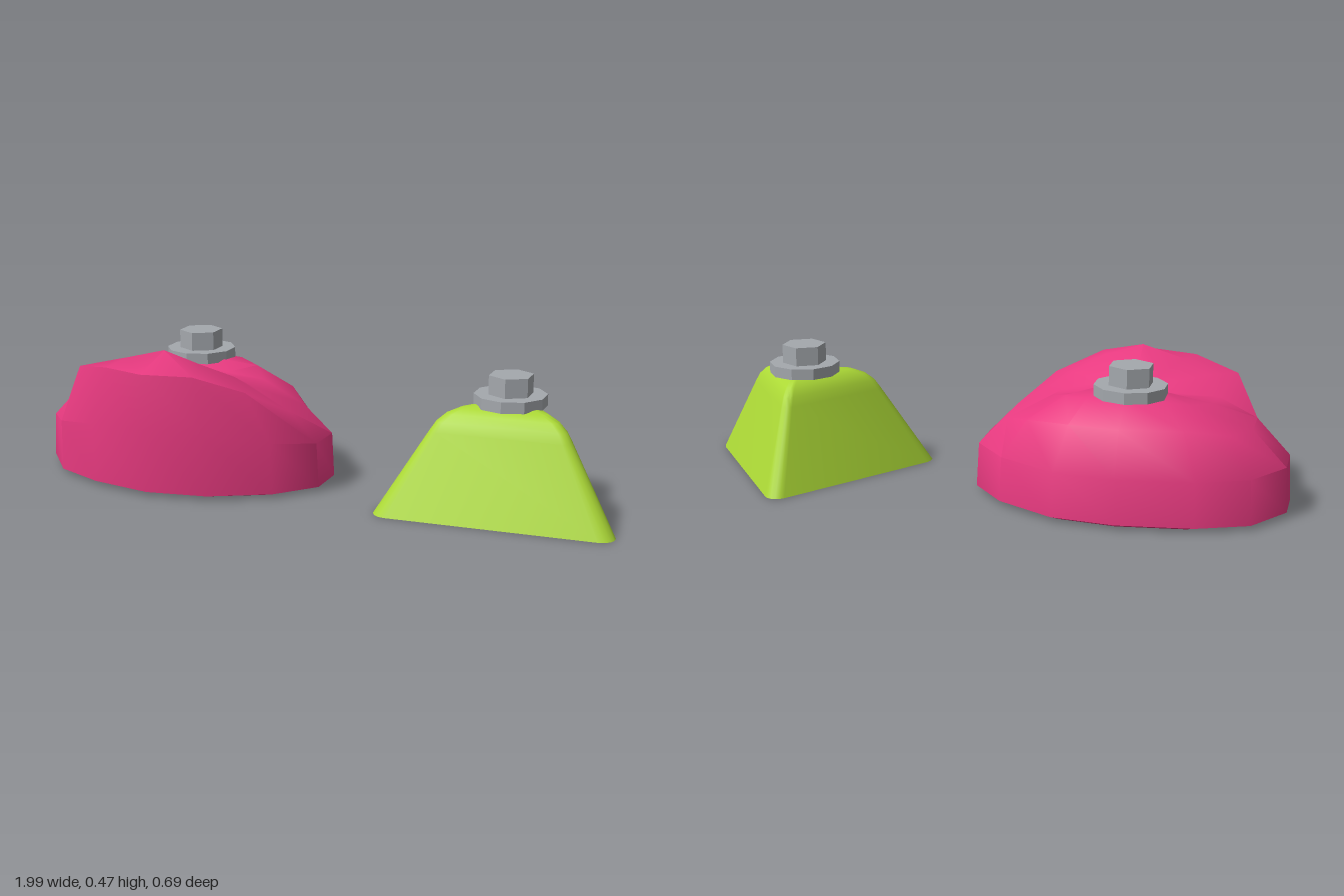
import * as THREE from 'three';
import { toCreasedNormals } from 'three/addons/utils/BufferGeometryUtils.js';

// Skin a stack of closed rings (bottom to top) and cap both ends with a fan
function loft(rings, bottom, top, crease) {
  const n = rings[0].length;
  const pos = [];
  const tri = (a, b, c) => pos.push(...a, ...b, ...c);
  for (let i = 0; i < n; i++) {
    const j = (i + 1) % n;
    for (let k = 0; k < rings.length - 1; k++) {
      const lo = rings[k], hi = rings[k + 1];
      tri(lo[i], hi[i], hi[j]);
      tri(lo[i], hi[j], lo[j]);
    }
    const last = rings[rings.length - 1];
    tri(bottom, rings[0][i], rings[0][j]);
    tri(top, last[j], last[i]);
  }
  const g = new THREE.BufferGeometry();
  g.setAttribute('position', new THREE.Float32BufferAttribute(pos, 3));
  return toCreasedNormals(g, crease);
}

function part(name, geometry, color) {
  const mesh = new THREE.Mesh(geometry, new THREE.MeshStandardMaterial({ color }));
  mesh.name = name;
  return mesh;
}

// Wide two-lobed hold: oval foot, tall front lobe, saddle and low back lobe
function lobedHold() {
  const outline = [
    [0.5, 0.06], [0.39, 0.19], [0.2, 0.305], [0, 0.345], [-0.21, 0.29], [-0.38, 0.2], [-0.495, 0.05],
    [-0.495, -0.08], [-0.4, -0.23], [-0.24, -0.3], [0, -0.335], [0.2, -0.315], [0.39, -0.21], [0.5, -0.08],
  ];
  const shoulder = [
    [0.4, 0.26, 0.06], [0.3, 0.345, 0.19], [0.16, 0.405, 0.285], [0, 0.41, 0.33], [-0.15, 0.41, 0.285],
    [-0.3, 0.38, 0.19], [-0.38, 0.275, 0.05], [-0.38, 0.27, -0.07], [-0.32, 0.28, -0.19],
    [-0.19, 0.3, -0.25], [0, 0.3, -0.285], [0.16, 0.3, -0.265], [0.31, 0.28, -0.18], [0.4, 0.25, -0.07],
  ];
  const crown = [
    [0.25, 0.325, 0.03], [0.22, 0.37, 0.1], [0.13, 0.42, 0.17], [0.01, 0.458, 0.18], [-0.13, 0.42, 0.17],
    [-0.22, 0.39, 0.11], [-0.26, 0.34, 0.03], [-0.25, 0.34, -0.05], [-0.2, 0.35, -0.13],
    [-0.12, 0.365, -0.17], [0, 0.37, -0.19], [0.12, 0.365, -0.18], [0.2, 0.355, -0.13], [0.26, 0.33, -0.05],
  ];
  const saddle = [0, 0.36, -0.03];
  const front = (z) => Math.max(0, z / 0.345) ** 2;
  const foot = outline.map(([x, z]) => [x * 0.88, 0, z * (0.9 - 0.15 * front(z))]);
  const rim = outline.map(([x, z]) => [x, 0.015, z * (1 - 0.09 * front(z))]);
  const belly = outline.map(([x, z]) => [x * 0.985, 0.16 + 0.08 * front(z), z]);
  // Halfway to the saddle, with the back lobe swelling under the bolt
  const inner = crown.map((p) => p.map((v, a) => (v + saddle[a]) / 2 + (a === 1 && p[2] < -0.1 ? 0.02 : 0)));
  return loft([foot, rim, belly, shoulder, crown, inner], [0, 0, 0], saddle, 0.75);
}

// Three-cornered hold: rounded triangle shrinking towards a domed top
function triangularHold() {
  const deg = Math.PI / 180;
  // Corner centre x, z, radius, and start and end of its arc
  const corners = [
    [-0.01, -0.305, 0.04, -146.5, -37],
    [0.335, 0.16, 0.045, -37, 88],
    [-0.33, 0.18, 0.05, 88, 213.5],
  ];
  const outline = corners.flatMap(([x, z, r, a0, a1]) =>
    Array.from({ length: 6 }, (_, i) => {
      const a = (a0 + ((a1 - a0) * i) / 5) * deg;
      return [x + r * Math.cos(a), z + r * Math.sin(a)];
    }));
  const levels = [[0, 1], [0.265, 0.59], [0.295, 0.54], [0.32, 0.465], [0.337, 0.36], [0.345, 0.22]];
  const rings = levels.map(([y, s]) => outline.map(([x, z]) => [x * s, y, z * s]));
  return loft(rings, [0, 0, 0], [0, 0.347, 0], 0.7);
}

// Hexagonal bolt head on a ten-sided washer
function bolt(name, x, y, z) {
  const group = new THREE.Group();
  group.name = name;
  const disc = (label, r, h, sides, y0) => {
    const g = toCreasedNormals(new THREE.CylinderGeometry(r, r, h, sides), 0.3);
    const mesh = part(label, g, 0xa4a8ad);
    mesh.position.y = y0 + h / 2;
    group.add(mesh);
  };
  disc('washer', 0.1155, 0.036, 10, 0);
  disc('boltHead', 0.072, 0.061, 6, 0.036);
  group.position.set(x, y, z);
  return group;
}

export function createModel() {
  const model = new THREE.Group();
  model.name = 'climbingHolds';

  const pink = part('lobedHold', lobedHold(), 0xe83a80);
  pink.position.x = -0.5;
  const green = part('triangularHold', triangularHold(), 0xacd936);
  green.position.x = 0.615;

  model.add(pink, green);
  model.add(bolt('lobedHoldBolt', -0.505, 0.368, -0.124));
  model.add(bolt('triangularHoldBolt', 0.615, 0.337, -0.012));
  return model;
}
